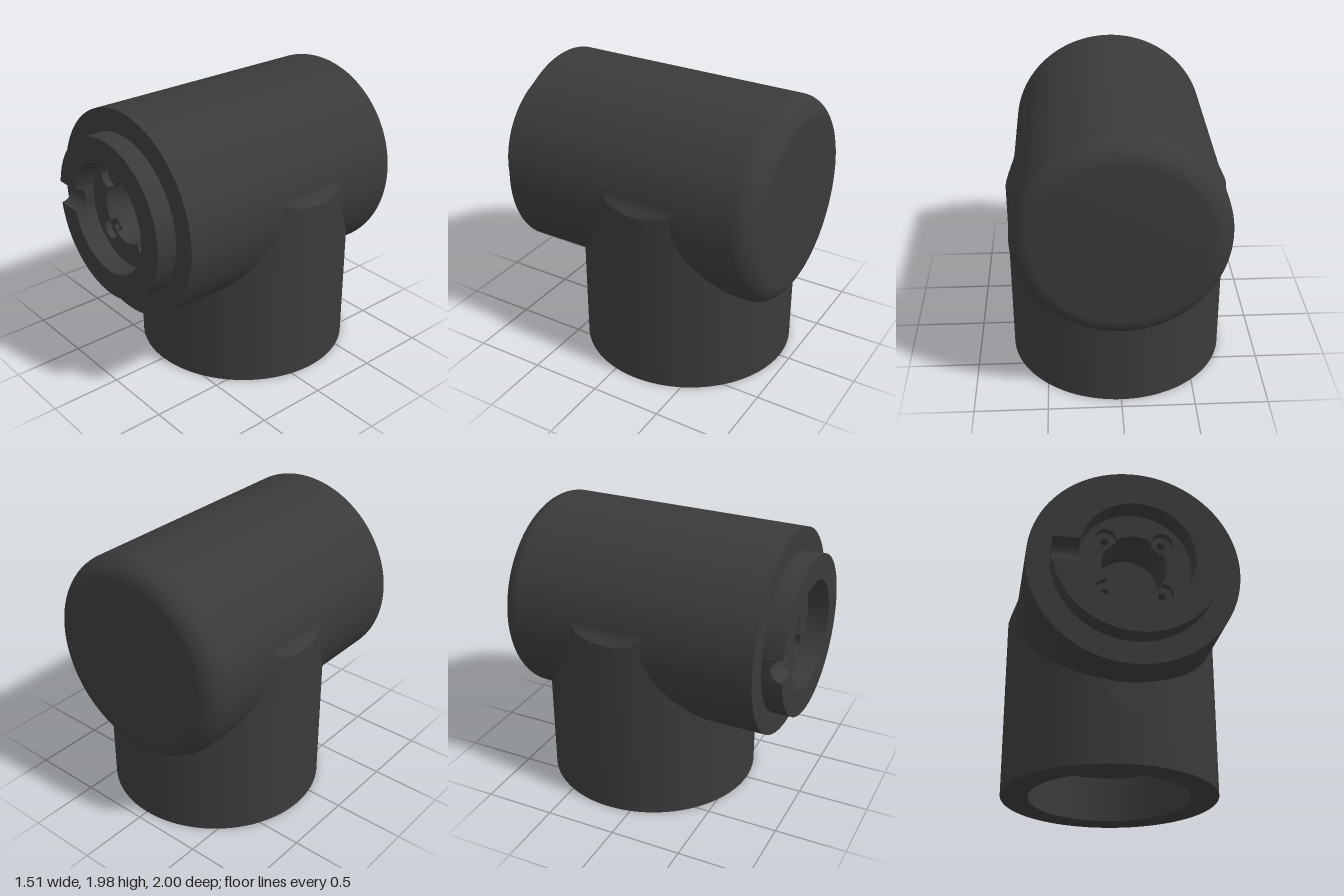
import * as THREE from 'three';
import { toCreasedNormals } from 'three/addons/utils/BufferGeometryUtils.js';

const AXIS_Y = 1.27;      // height of the horizontal barrel axis
const BARREL_R = 0.71;
const STEM_R = 0.755;
const STEM_Z = -0.17;
const PI = Math.PI;

const material = new THREE.MeshStandardMaterial({ color: 0x3a3a3a });
const v2 = (x, y) => new THREE.Vector2(x, y);

function part(name, geometry, parent) {
  const mesh = new THREE.Mesh(toCreasedNormals(geometry, 0.5), material);
  mesh.name = name;
  parent.add(mesh);
  return mesh;
}

function circle(r, x = 0, y = 0, Type = THREE.Path) {
  return new Type().absarc(x, y, r, 0, 2 * PI, false);
}

function extrude(shape, depth, z = 0, curveSegments = 64) {
  return new THREE.ExtrudeGeometry(shape, { depth, curveSegments, bevelEnabled: false }).translate(0, 0, z);
}

// Barrel shell with a rounded back edge, turned about z
function barrelGeometry() {
  const round = 0.15;
  const profile = [v2(0, -1), v2(BARREL_R - round, -1)];
  for (let i = 1; i <= 12; i++) {
    const a = (i / 12) * PI / 2;
    profile.push(v2(BARREL_R - round + round * Math.sin(a), -1 + round - round * Math.cos(a)));
  }
  profile.push(v2(BARREL_R, 0.86), v2(0.54, 0.86));
  return new THREE.LatheGeometry(profile, 128).rotateX(PI / 2);
}

// Stem: a hollow cup, trimmed to the barrel, with side fillets and a front relief
function stemGeometry() {
  const rows = [0, 0.3, 0.42];
  for (let y = 0.435; y < 0.62; y += 0.015) rows.push(y);
  rows.push(0.8, 1, 1.2, 1.29);
  for (let i = 1; i <= 8; i++) rows.push(1.29 + 0.11 * i / 8);
  const profile = [v2(0.565, 0.34), v2(0.565, 0), ...rows.map(y => v2(STEM_R, y))];
  const geo = new THREE.LatheGeometry(profile, 192);
  const p = geo.attributes.position;
  for (let i = 0; i < p.count; i++) {
    let x = p.getX(i), y = p.getY(i), z = p.getZ(i);
    // stop just inside the barrel
    if (Math.abs(x) < 0.69) {
      y = Math.min(y, AXIS_Y - Math.sqrt(BARREL_R ** 2 - x * x) + 0.06);
    }
    // concave side fillets
    if (y > 1.29) {
      const t = Math.min(1, (y - 1.29) / 0.11);
      x = Math.sign(x) * Math.min(Math.abs(x), 0.70 + 0.055 * (1 - t) ** 2);
    }
    // shallow relief on the front
    if (y > 0.42) {
      const t = Math.min(1, (y - 0.42) / 0.13);
      z = Math.min(z, STEM_R - 0.013 * Math.sin(t * PI / 2));
    }
    p.setXYZ(i, x, y, z);
  }
  return geo;
}

// Ring with a gap on the right side for the groove
function collarGeometry(outer, inner, half) {
  const ao = Math.asin(half / outer), ai = Math.asin(half / inner);
  const shape = new THREE.Shape();
  shape.absarc(0, 0, outer, -PI + ao, PI - ao, false);
  shape.absarc(0, 0, inner, PI - ai, -PI + ai, true);
  shape.closePath();
  return extrude(shape, 0.2, 0.8, 128);
}

// Block with a half-round channel running along x
function grooveGeometry(half) {
  const shape = new THREE.Shape();
  shape.moveTo(-0.8, -half);
  shape.lineTo(-0.8, half);
  shape.lineTo(-1, half);
  shape.absarc(-1, 0, half, PI / 2, -PI / 2, true);
  shape.closePath();
  // shape x is -z, shape y is y, extruded along x
  return extrude(shape, 0.181, 0, 24).rotateY(PI / 2).translate(-0.553, 0, 0);
}

// Recess plate whose bore merges with four screw pockets
function pocketPlate(bore, pocket, dist) {
  const shape = circle(0.39, 0, 0, THREE.Shape);
  const phi = Math.acos((dist ** 2 + bore ** 2 - pocket ** 2) / (2 * dist * bore));
  const beta = Math.atan2(bore * Math.sin(phi), bore * Math.cos(phi) - dist);
  const hole = new THREE.Path();
  for (let i = 0; i < 4; i++) {
    const a = PI / 4 + i * PI / 2;
    hole.absarc(dist * Math.cos(a), dist * Math.sin(a), pocket, a - beta, a + beta, false);
    hole.absarc(0, 0, bore, a + phi, a + PI / 2 - phi, false);
  }
  shape.holes.push(hole);
  return extrude(shape, 0.05, 0.8, 32);
}

// Round plate with a centre hole and a ring of small holes
function drilledPlate(radius, centre, small, count, dist, start, depth, z) {
  const shape = circle(radius, 0, 0, THREE.Shape);
  shape.holes.push(circle(centre));
  for (let i = 0; i < count; i++) {
    const a = start + i * 2 * PI / count;
    shape.holes.push(circle(small, dist * Math.cos(a), dist * Math.sin(a)));
  }
  return extrude(shape, depth, z, 32);
}

export function createModel() {
  const model = new THREE.Group();
  model.name = 'elbowJoint';

  // Horizontal barrel and its front end
  const barrel = new THREE.Group();
  barrel.name = 'barrel';
  barrel.position.y = AXIS_Y;
  model.add(barrel);
  part('barrelShell', barrelGeometry(), barrel);
  part('frontCollar', collarGeometry(0.555, 0.38, 0.08), barrel);
  part('collarGroove', grooveGeometry(0.08), barrel);
  part('recessPlate', pocketPlate(0.22, 0.07, 0.268), barrel);
  part('boreBlock', drilledPlate(0.39, 0.22, 0.027, 4, 0.268, PI / 4, 0.28, 0.52), barrel);
  part('boreEnd', new THREE.CylinderGeometry(0.39, 0.39, 0.02, 64).rotateX(PI / 2).translate(0, 0, 0.51), barrel);

  // Vertical stem with its drilled socket floor
  const stem = new THREE.Group();
  stem.name = 'stem';
  stem.position.z = STEM_Z;
  model.add(stem);
  part('stemShell', stemGeometry(), stem);
  const floor = drilledPlate(0.57, 0.085, 0.045, 6, 0.445, 0, 0.12, 0);
  part('socketFloor', floor.rotateX(-PI / 2).translate(0, 0.33, 0), stem);
  part('socketCap', new THREE.CylinderGeometry(0.57, 0.57, 0.02, 64).translate(0, 0.46, 0), stem);

  return model;
}
